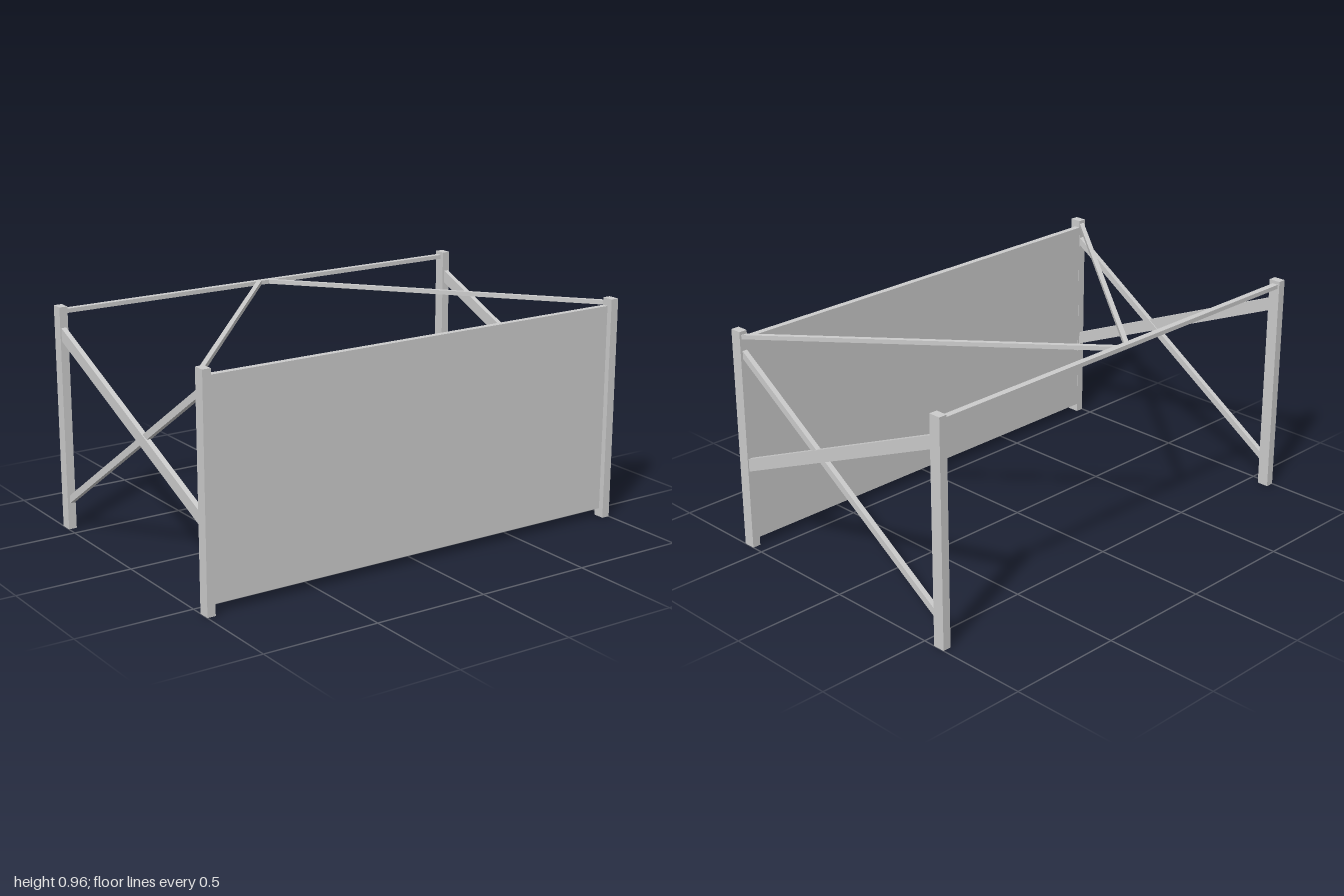
import * as THREE from 'three';

const material = new THREE.MeshStandardMaterial({ color: 0xcccccc, flatShading: true });

export function createModel() {
  const model = new THREE.Group();
  model.name = 'panelFrame';

  const add = (name, geometry) => {
    const mesh = new THREE.Mesh(geometry, material);
    mesh.name = name;
    model.add(mesh);
  };

  // Axis-aligned block given by its minimum and maximum corners
  const block = (name, [x0, y0, z0], [x1, y1, z1]) => {
    const g = new THREE.BoxGeometry(x1 - x0, y1 - y0, z1 - z0);
    add(name, g.translate((x0 + x1) / 2, (y0 + y1) / 2, (z0 + z1) / 2));
  };

  // Slanted bar between two centre points, its ends cut square to z;
  // w and h are the section's size in x and y at the cuts
  const bar = (name, from, to, w, h) => {
    const g = new THREE.BoxGeometry(w, h, 1);
    const a = new THREE.Vector3(...from), b = new THREE.Vector3(...to);
    const p = g.attributes.position, c = new THREE.Vector3();
    for (let i = 0; i < p.count; i++) {
      c.lerpVectors(a, b, 0.5 - p.getZ(i));
      p.setXYZ(i, p.getX(i) + c.x, p.getY(i) + c.y, c.z);
    }
    g.computeVertexNormals();
    add(name, g);
  };

  const postInnerX = 0.964, postInnerZ = 0.553, postOuterZ = 0.605, height = 0.963;

  for (const s of [1, -1]) {
    const side = s > 0 ? 'left' : 'right';
    const x0 = s > 0 ? postInnerX : -1, x1 = s > 0 ? 1 : -postInnerX;

    // Corner posts
    block(side + 'FrontPost', [x0, 0, postInnerZ], [x1, height, postOuterZ]);
    block(side + 'BackPost', [x0, 0, -postOuterZ], [x1, height, -postInnerZ]);

    // Crossed side braces: a wide one rising to the back, a narrow one falling
    bar(side + 'WideBrace', [s * 0.984, 0.378, postInnerZ], [s * 0.984, 0.848, -postInnerZ], 0.022, 0.056);
    bar(side + 'NarrowBrace', [s * 0.979, 0.863, postInnerZ], [s * 0.979, 0.132, -postInnerZ], 0.022, 0.034);

    // Top diagonals from the front posts to the middle of the back rail
    bar(side + 'TopDiagonal', [s * 0.979, 0.94, postInnerZ], [s * 0.032, 0.94, -0.57], 0.026, 0.018);
  }

  // Front panel and back rail
  block('frontPanel', [-postInnerX, 0.037, 0.554], [postInnerX, 0.931, 0.581]);
  block('backRail', [-postInnerX, 0.931, -0.597], [postInnerX, 0.949, -0.57]);

  return model;
}
